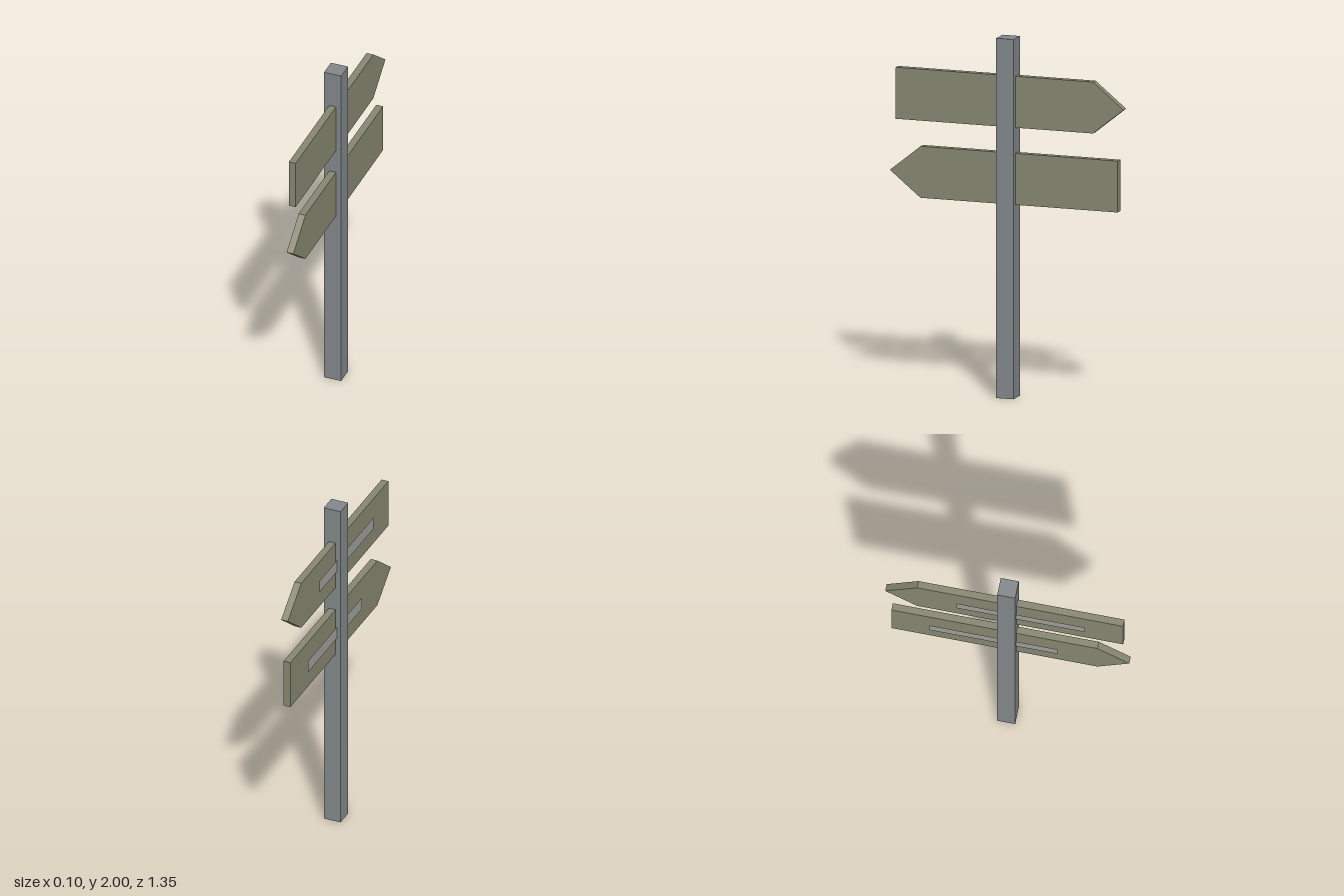
import * as THREE from 'three';

const postMaterial = new THREE.MeshStandardMaterial({ name: 'greyPost', color: 0x83888a });
const boardMaterial = new THREE.MeshStandardMaterial({ name: 'oliveBoard', color: 0x878771 });
const plateMaterial = new THREE.MeshStandardMaterial({ name: 'paleGreyPlate', color: 0x9e9e9a });

const THICKNESS = 0.04;
const HALF_HEIGHT = 0.143;

// Arrow board lying along z, with its tip towards dir * z
function makeSign(name, y, dir) {
  const sign = new THREE.Group();
  sign.name = name;
  sign.position.y = y;

  const outline = new THREE.Shape([
    [-0.643, -HALF_HEIGHT], [0.5, -HALF_HEIGHT], [0.677, 0],
    [0.5, HALF_HEIGHT], [-0.643, HALF_HEIGHT],
  ].map(([along, up]) => new THREE.Vector2(along * dir, up)));
  const boardGeometry = new THREE.ExtrudeGeometry(outline, { depth: THICKNESS, bevelEnabled: false });
  boardGeometry.translate(0, 0, -THICKNESS / 2).rotateY(-Math.PI / 2);
  const board = new THREE.Mesh(boardGeometry, boardMaterial);
  board.name = 'arrowBoard';

  // Thin name plate just off the -x face
  const plateGeometry = new THREE.PlaneGeometry(0.71, 0.072).rotateY(-Math.PI / 2);
  const plate = new THREE.Mesh(plateGeometry, plateMaterial);
  plate.name = 'namePlate';
  plate.position.set(-0.028, -0.003, -0.075 * dir);

  sign.add(board, plate);
  return sign;
}

export function createModel() {
  const model = new THREE.Group();
  model.name = 'signpost';

  const post = new THREE.Mesh(new THREE.BoxGeometry(0.1, 2, 0.1), postMaterial);
  post.name = 'post';
  post.position.y = 1;

  model.add(post, makeSign('upperSign', 1.647, -1), makeSign('lowerSign', 1.218, 1));
  return model;
}
